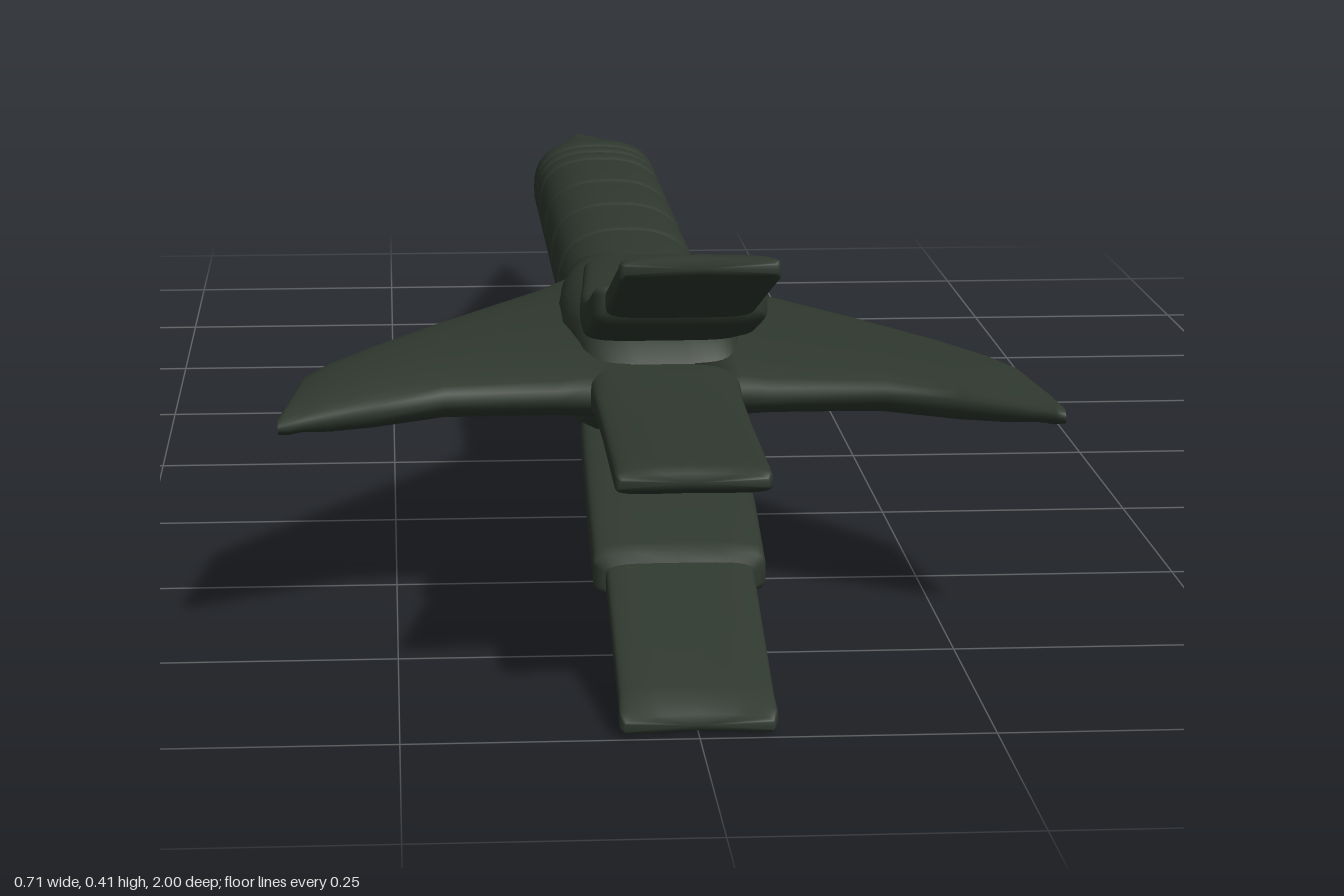
import * as THREE from 'three';

const MID = 0.208; // height of the long axis

// Skin a list of rings (equal point counts), closing both ends
function skin(rings) {
  const n = rings[0].length, pos = [], idx = [];
  rings.forEach(r => r.forEach(p => pos.push(...p)));
  for (let i = 0; i < rings.length - 1; i++) {
    for (let j = 0; j < n; j++) {
      const k = (j + 1) % n, a = i * n + j, b = i * n + k;
      idx.push(a, b, a + n, b, b + n, a + n);
    }
  }
  const cap = (start, flip) => {
    const c = pos.length / 3, s = [0, 0, 0];
    for (let j = 0; j < n; j++) for (let d = 0; d < 3; d++) s[d] += pos[(start + j) * 3 + d] / n;
    pos.push(...s);
    for (let j = 0; j < n; j++) {
      const a = start + j, b = start + (j + 1) % n;
      idx.push(c, flip ? b : a, flip ? a : b);
    }
  };
  cap(0, true);
  cap((rings.length - 1) * n, false);
  const g = new THREE.BufferGeometry();
  g.setAttribute('position', new THREE.Float32BufferAttribute(pos, 3));
  g.setIndex(idx);
  g.computeVertexNormals();
  return g;
}

const rounded = (v, e) => Math.sign(v) * Math.pow(Math.abs(v), e);

// Sections along z: [z, halfWidth, centreY, halfHeight, endNotch]; e < 1 squares the section
function loftZ(sections, e, n = 40) {
  return skin(sections.map(([z, w, cy, h, notch = 0]) =>
    Array.from({ length: n }, (_, j) => {
      const t = j / n * Math.PI * 2;
      const c = rounded(Math.cos(t), e), s = rounded(Math.sin(t), e);
      return [w * c, cy + h * s, z - notch * (1 - c * c)];
    })));
}

// Sections along x: [x, leadingZ, trailingZ, halfHeight]
function loftX(sections, e, n = 32) {
  return skin(sections.map(([x, z0, z1, h]) =>
    Array.from({ length: n }, (_, j) => {
      const t = j / n * Math.PI * 2;
      return [x, h * rounded(Math.cos(t), e), (z0 + z1) / 2 + (z1 - z0) / 2 * rounded(Math.sin(t), e)];
    })));
}

export function createModel() {
  const model = new THREE.Group();
  model.name = 'dart';
  const green = new THREE.MeshStandardMaterial({ color: 0x2f382f });
  green.name = 'dark green';

  const add = (name, geometry, turn = 0) => {
    const m = new THREE.Mesh(geometry, green);
    m.name = name;
    m.position.y = MID;
    m.rotation.z = turn;
    model.add(m);
    return m;
  };

  // Pointed nose and long body
  add('fuselage', loftZ([
    [-1, 0.002, 0, 0.002], [-0.98, 0.006, 0, 0.006], [-0.9, 0.019, 0, 0.016],
    [-0.8, 0.036, 0, 0.029], [-0.7, 0.053, 0, 0.041], [-0.63, 0.065, 0, 0.05],
    [-0.59, 0.07, 0, 0.054], [-0.54, 0.072, 0, 0.055], [-0.3, 0.072, 0, 0.055],
    [0, 0.071, 0, 0.055], [0.2, 0.07, 0, 0.055], [0.45, 0.07, 0, 0.05]
  ], 0.8));

  // Shallow raised bands round the body
  [[-0.575, 0.03], [-0.525, 0.02], [-0.475, 0.03], [-0.36, 0.12], [-0.2, 0.12], [-0.04, 0.12], [0.12, 0.12]]
    .forEach(([z, len]) => add('bodyBand', loftZ([
      [z - len / 2 - 0.012, 0.068, 0, 0.051], [z - len / 2, 0.0745, 0, 0.058],
      [z + len / 2, 0.0745, 0, 0.058], [z + len / 2 + 0.012, 0.068, 0, 0.051]
    ], 0.8)));

  // Swollen root where wings and tail boards join
  add('hub', loftZ([
    [0.1, 0.066, 0, 0.05], [0.19, 0.076, 0, 0.058], [0.25, 0.083, 0, 0.068],
    [0.34, 0.09, 0, 0.072], [0.43, 0.09, 0, 0.073], [0.48, 0.082, 0, 0.072],
    [0.53, 0.076, 0, 0.055], [0.57, 0.07, 0, 0.025]
  ], 0.6));

  const wing = loftX([
    [0.03, 0.06, 0.61, 0.043], [0.07, 0.1, 0.61, 0.041], [0.1, 0.15, 0.612, 0.036],
    [0.205, 0.315, 0.612, 0.031], [0.27, 0.418, 0.655, 0.027], [0.31, 0.48, 0.681, 0.022],
    [0.334, 0.52, 0.697, 0.016], [0.347, 0.635, 0.706, 0.012], [0.355, 0.69, 0.711, 0.007]
  ], 0.9);

  // Splayed board: wide inner half, step, narrower scalloped outer half
  const inner = loftZ([
    [0.26, 0.045, 0.045, 0.012], [0.3, 0.06, 0.056, 0.019], [0.42, 0.068, 0.06, 0.021],
    [0.5, 0.074, 0.062, 0.021], [0.58, 0.076, 0.071, 0.022], [0.68, 0.077, 0.094, 0.022],
    [0.76, 0.077, 0.118, 0.021], [0.773, 0.077, 0.122, 0.019], [0.78, 0.068, 0.125, 0.013]
  ], 0.4);
  const outer = loftZ([
    [0.7, 0.064, 0.102, 0.014], [0.78, 0.066, 0.126, 0.015], [0.88, 0.066, 0.158, 0.014],
    [0.96, 0.066, 0.183, 0.013, 0.004], [0.985, 0.067, 0.191, 0.012, 0.012],
    [0.997, 0.063, 0.194, 0.007, 0.014]
  ], 0.4);

  // Left and upper parts, then the same turned half round
  [['left', 'upper', 0], ['right', 'lower', Math.PI]].forEach(([side, level, turn]) => {
    add(side + 'Wing', wing, turn);
    add(level + 'BoardInner', inner, turn);
    add(level + 'BoardOuter', outer, turn);
  });

  // Flat central board
  add('middleBoard', loftZ([
    [0.5, 0.07, 0, 0.03], [0.6, 0.07, 0, 0.022], [0.64, 0.068, 0, 0.015],
    [0.75, 0.067, 0, 0.013], [0.9, 0.067, 0, 0.013], [0.928, 0.067, 0, 0.012, 0.008],
    [0.938, 0.063, 0, 0.007, 0.01]
  ], 0.45));

  return model;
}
